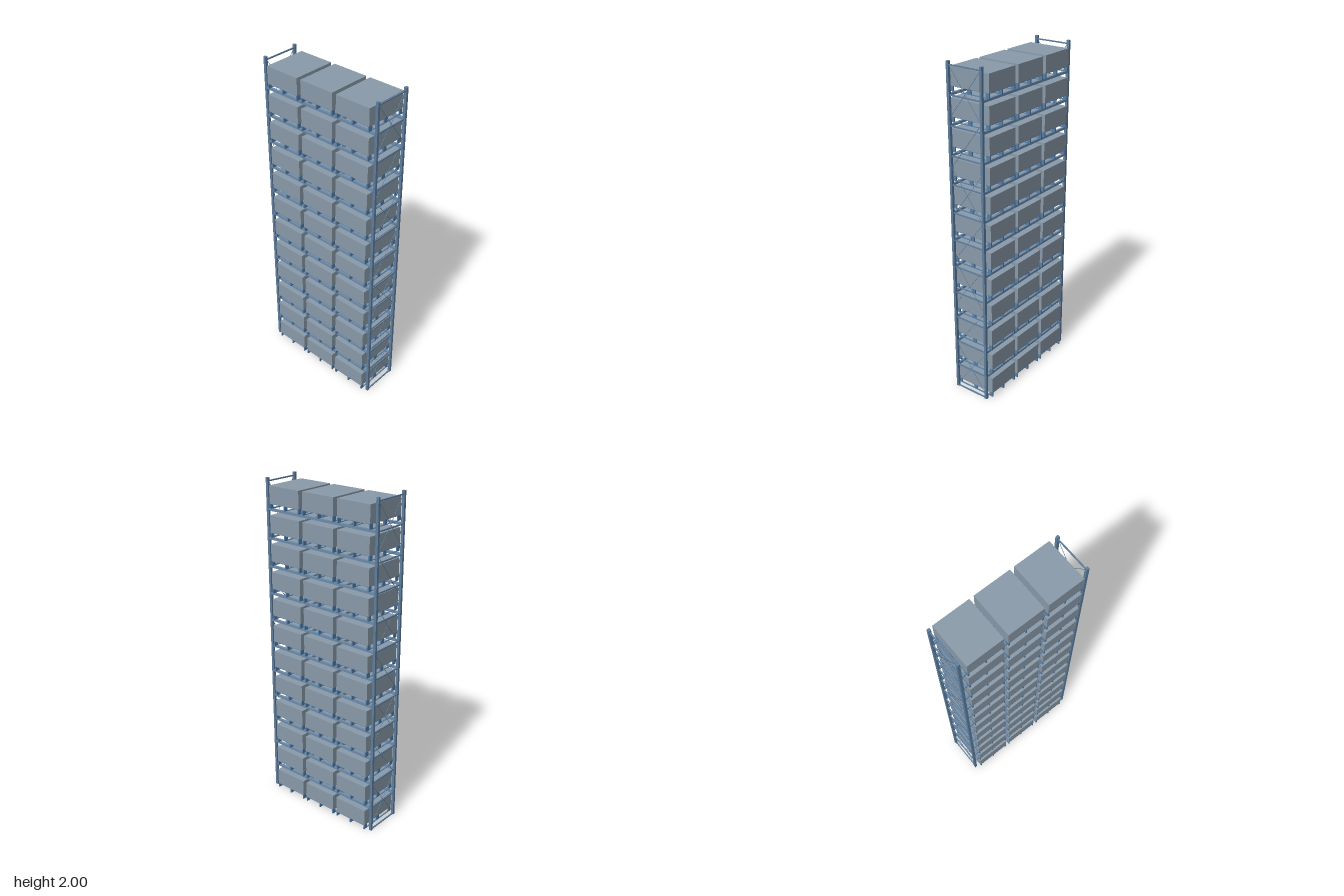
import * as THREE from 'three';
import { mergeGeometries } from 'three/addons/utils/BufferGeometryUtils.js';

const LEVELS = 12, PITCH = 0.1666;
const POST_X = 0.388, POST_Z = 0.109, POST_W = 0.016, POST_D = 0.015;
const LOAD_W = 0.22, LOAD_D = 0.263, LOAD_H = 0.101, LOAD_GAP = 0.246, PALLET_H = 0.029;
const steel = new THREE.MeshStandardMaterial({ color: 0x5f7f9f });
const beamBlue = new THREE.MeshStandardMaterial({ color: 0x6d8cab });
const palletBlue = new THREE.MeshStandardMaterial({ color: 0x557fa8 });
const loadGrey = new THREE.MeshStandardMaterial({ color: 0x8a9baa });

function boxAt(w, h, d, x, y, z) {
  return new THREE.BoxGeometry(w, h, d).translate(x, y, z);
}

function part(name, geometry, material) {
  const mesh = new THREE.Mesh(geometry, material);
  mesh.name = name;
  return mesh;
}

// Thin bar in the plane of a side frame, from (y0, z0) to (y1, z1)
function frameBar(y0, z0, y1, z1, x, size) {
  const dy = y1 - y0, dz = z1 - z0;
  return new THREE.BoxGeometry(size, size, Math.hypot(dy, dz))
    .rotateX(-Math.atan2(dy, dz))
    .translate(x, (y0 + y1) / 2, (z0 + z1) / 2);
}

// Pallet: bottom runners, nine blocks, and close-set deck boards
function palletGeometry() {
  const pieces = [];
  for (const i of [-1, 0, 1]) {
    const x = i * (LOAD_W / 2 - 0.004);
    pieces.push(boxAt(0.008, 0.003, LOAD_D, x, 0.0015, 0));
    for (const j of [-1, 0, 1]) {
      pieces.push(boxAt(0.008, 0.024, 0.024, x, 0.015, j * (LOAD_D / 2 - 0.012)));
    }
  }
  for (let i = 0; i < 9; i++) {
    const z = (i / 8 - 0.5) * (LOAD_D - 0.026);
    pieces.push(boxAt(LOAD_W, 0.002, 0.026, 0, PALLET_H - 0.001, z));
  }
  return mergeGeometries(pieces);
}

// Side frame: two posts, horizontal ties, and rod bracing
function sideFrame(side) {
  const frame = new THREE.Group();
  frame.name = side > 0 ? 'leftFrame' : 'rightFrame';
  const x = side * POST_X;
  for (const s of [1, -1]) {
    const post = boxAt(POST_W, 2, POST_D, x, 1, s * POST_Z);
    frame.add(part(s > 0 ? 'frontPost' : 'backPost', post, steel));
  }
  const ties = [0.004, 1.98];
  for (let k = 1; k < LEVELS; k++) ties.push(k * PITCH - 0.01);
  for (const y of ties) {
    frame.add(part('tie', boxAt(0.007, 0.007, 2 * POST_Z, x, y, 0), steel));
  }
  // Crossed rods alternate with single diagonals
  const z = POST_Z - 0.004, step = 0.279;
  for (let i = 0; i < 7; i++) {
    const y = 0.027 + i * step;
    frame.add(part('diagonal', frameBar(y, z, y + step, -z, x, 0.002), steel));
    if (i % 2 === 0) frame.add(part('diagonal', frameBar(y, -z, y + step, z, x, 0.002), steel));
  }
  return frame;
}

export function createModel() {
  const model = new THREE.Group();
  model.name = 'palletRack';
  model.add(sideFrame(1), sideFrame(-1));

  const beam = new THREE.BoxGeometry(2 * POST_X - POST_W, 0.014, 0.014);
  const pallet = palletGeometry();
  const load = new THREE.BoxGeometry(LOAD_W, LOAD_H, LOAD_D);

  for (let k = 0; k < LEVELS; k++) {
    const level = new THREE.Group();
    level.name = 'level';
    level.position.y = k * PITCH;
    // Front and back beams, none on the ground level
    if (k > 0) {
      for (const s of [1, -1]) {
        const b = part(s > 0 ? 'frontBeam' : 'backBeam', beam, beamBlue);
        b.position.set(0, -0.01, s * POST_Z);
        level.add(b);
      }
    }
    // Three loaded pallets side by side
    for (const i of [-1, 0, 1]) {
      const p = part('pallet', pallet, palletBlue);
      p.position.x = i * LOAD_GAP;
      const l = part('load', load, loadGrey);
      l.position.set(i * LOAD_GAP, PALLET_H + LOAD_H / 2, 0);
      level.add(p, l);
    }
    model.add(level);
  }
  return model;
}
